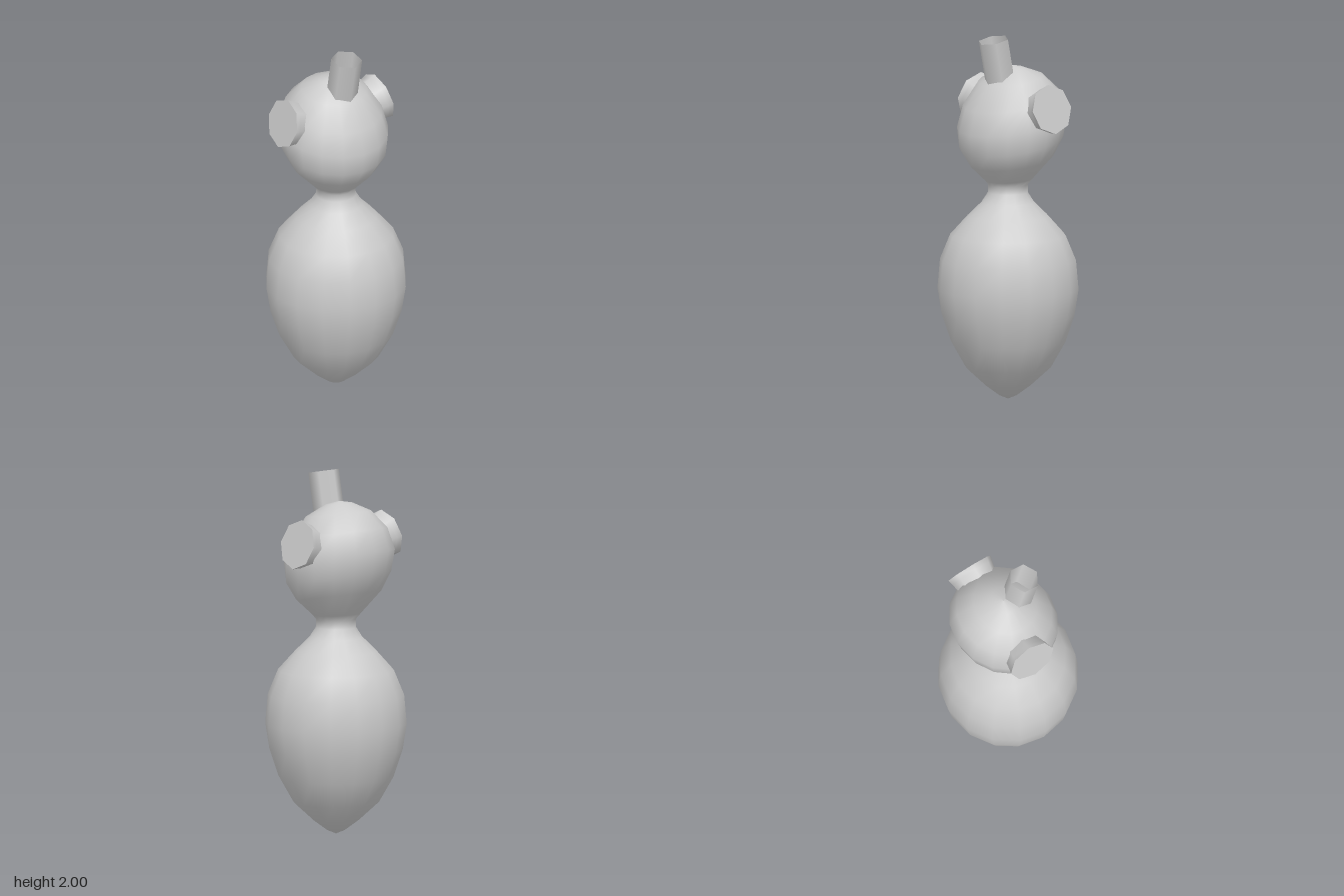
import * as THREE from 'three';
import { toCreasedNormals } from 'three/addons/utils/BufferGeometryUtils.js';

const SIDES = 16;

// Smooth skin through elliptical rings: [front z, front y, back z, back y, half width]
function skin(rings) {
  const pos = [], index = [];
  for (const [zf, yf, zb, yb, rx] of rings) {
    for (let i = 0; i < SIDES; i++) {
      const a = (i / SIDES) * Math.PI * 2, t = (1 - Math.cos(a)) / 2;
      pos.push(rx * Math.sin(a), yf + (yb - yf) * t, zf + (zb - zf) * t);
    }
  }
  for (let r = 0; r < rings.length - 1; r++) {
    for (let i = 0; i < SIDES; i++) {
      const j = (i + 1) % SIDES;
      const a = r * SIDES + i, b = r * SIDES + j;
      index.push(a, b, b + SIDES, a, b + SIDES, a + SIDES);
    }
  }
  const g = new THREE.BufferGeometry();
  g.setAttribute('position', new THREE.Float32BufferAttribute(pos, 3));
  g.setIndex(index);
  g.computeVertexNormals();
  return g;
}

export function createModel() {
  const group = new THREE.Group();
  const grey = new THREE.MeshStandardMaterial({ color: 0xcccccc });
  const open = new THREE.MeshStandardMaterial({ color: 0xcccccc, side: THREE.DoubleSide });
  const add = (name, geometry, material = grey) => {
    const mesh = new THREE.Mesh(geometry, material);
    mesh.name = name;
    group.add(mesh);
    return mesh;
  };

  // Egg-shaped body, thin neck and backward-tilted head in one skin
  const body = [
    [0.002, 0.005], [0.05, 0.025], [0.125, 0.08], [0.235, 0.18], [0.315, 0.32], [0.365, 0.47],
    [0.387, 0.61], [0.373, 0.77], [0.317, 0.905], [0.222, 1.01], [0.145, 1.085], [0.11, 1.14],
  ].map(([r, y]) => [r * 0.99, y, -r * 0.99, y, r]);
  const head = [
    [0.108, 1.18, -0.108, 1.185, 0.108],
    [0.125, 1.205, -0.135, 1.22, 0.135],
    [0.2, 1.28, -0.245, 1.355, 0.24],
    [0.255, 1.365, -0.3, 1.465, 0.292],
    [0.267, 1.475, -0.325, 1.59, 0.307],
    [0.235, 1.6, -0.283, 1.705, 0.27],
    [0.15, 1.74, -0.19, 1.79, 0.185],
    [0.04, 1.815, -0.09, 1.825, 0.08],
    [-0.028, 1.835, -0.032, 1.835, 0.002],
  ];
  add('bodyAndHead', skin([...body, ...head]));

  // Open six-sided tube leaning forward from the top of the head
  const tube = new THREE.CylinderGeometry(0.085, 0.085, 0.32, 6, 1, true);
  tube.translate(0, -0.16, 0);
  const topTube = add('topTube', tube, open);
  topTube.position.set(0, 1.985, 0.103);
  topTube.rotation.x = 0.2;

  // Eight-sided ear discs, facing outward and slightly up
  for (const side of [-1, 1]) {
    const disc = new THREE.LatheGeometry([
      new THREE.Vector2(0.1, -0.14), new THREE.Vector2(0.118, -0.08),
      new THREE.Vector2(0.128, -0.03), new THREE.Vector2(0.136, 0), new THREE.Vector2(0, 0),
    ], 8);
    const ear = add(side > 0 ? 'leftEar' : 'rightEar', toCreasedNormals(disc, 0.9));
    ear.position.set(side * 0.318, 1.628, -0.046);
    ear.rotation.z = -side * (Math.PI / 2 - 0.24);
  }
  return group;
}
